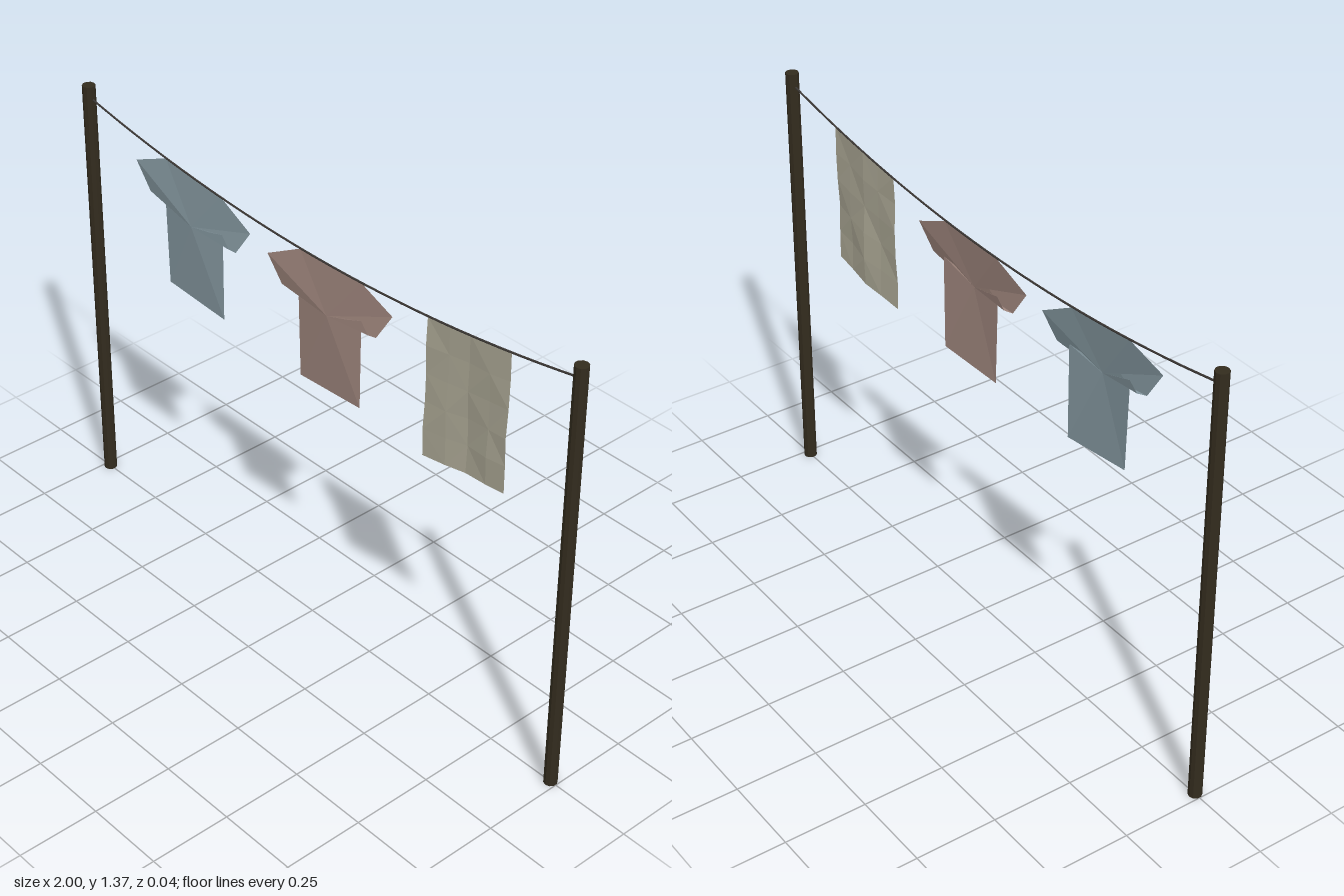
import * as THREE from 'three';

const mat = (name, color, extra = {}) => {
  const m = new THREE.MeshStandardMaterial({ color, ...extra });
  m.name = name;
  return m;
};
const cloth = { flatShading: true, side: THREE.DoubleSide };

// Height and slope of the sagging line
const ropeY = (x) => 1.23 + 0.1 * x * x;
const ropeSlope = (x) => 0.2 * x;

// Flat-shaded sheet from points and triangle indices
function sheet(points, index) {
  const g = new THREE.BufferGeometry();
  g.setAttribute('position', new THREE.Float32BufferAttribute(points.flat(), 3));
  g.setIndex(index);
  const flat = g.toNonIndexed();
  flat.computeVertexNormals();
  return flat;
}

// Triangle fan around the first point
function fan(points) {
  const index = [];
  for (let i = 1; i < points.length - 1; i++) index.push(0, i, i + 1);
  return sheet(points, index);
}

// Shirt hung from its shoulders, sheared to follow the line
function shirt(name, cx, material) {
  const group = new THREE.Group();
  group.name = name;
  const chest = [0, -0.155, 0.012];
  const hang = (p) => p.map(([x, y, z]) => [cx + x, ropeY(cx) + y + ropeSlope(cx) * x, z]);
  const yoke = [
    chest,
    [0.08, -0.13, 0.011], [0.135, -0.11, 0.009], [0.165, -0.14, 0.011], // folded underarm
    [0.195, -0.135, 0.01], [0.24, -0.055, -0.006], // left cuff
    [0.12, 0, -0.002], [-0.12, 0, 0], // shoulders
    [-0.24, -0.06, 0.014], [-0.19, -0.14, 0.006], // right cuff
    [-0.16, -0.143, -0.002], [-0.13, -0.115, -0.003], [-0.08, -0.13, 0.003],
  ];
  const torso = [
    chest,
    [-0.08, -0.12, 0.007], [-0.12, -0.15, 0.006], [-0.115, -0.405, 0.004],
    [0.12, -0.405, -0.004], [0.12, -0.11, -0.006], [0.08, -0.12, 0.002],
  ];
  for (const [part, pts] of [['yokeAndSleeves', yoke], ['torso', torso]]) {
    const mesh = new THREE.Mesh(fan(hang(pts)), material);
    mesh.name = part;
    group.add(mesh);
  }
  return group;
}

// Rippled towel on a small grid
function towel(material) {
  const cols = [0.45, 0.53, 0.6, 0.68, 0.75], ripple = [0.007, 0.004, -0.009, 0.001, 0.006];
  const rows = 5, pts = [], index = [];
  for (let j = 0; j <= rows; j++) {
    cols.forEach((x, i) => {
      const wobble = 0.003 * Math.sin(i * 2.1 + j * 1.9);
      pts.push([x, ropeY(x) - 0.087 * j, ripple[i] * (0.3 + 0.14 * j) + wobble * Math.min(j, 1)]);
    });
  }
  for (let j = 0; j < rows; j++) {
    for (let i = 0; i < 4; i++) {
      const a = j * 5 + i, b = a + 5;
      if ((i + j) % 2) index.push(a, b, a + 1, a + 1, b, b + 1);
      else index.push(a, b, b + 1, a, b + 1, a + 1);
    }
  }
  const mesh = new THREE.Mesh(sheet(pts, index), material);
  mesh.name = 'towel';
  return mesh;
}

export function createModel() {
  const model = new THREE.Group();
  model.name = 'clothesline';
  const wood = mat('dark wood', 0x332c1e, { flatShading: true });
  const cord = mat('cord', 0x3c3835);
  const blue = mat('faded blue', 0x84979f, cloth);
  const pink = mat('dusty rose', 0x9f867d, cloth);
  const linen = mat('linen', 0xaeaa97, cloth);

  // Poles
  for (const side of [-1, 1]) {
    const pole = new THREE.Mesh(new THREE.CylinderGeometry(0.02, 0.02, 1.365, 10), wood);
    pole.position.set(side * 0.98, 1.365 / 2, 0);
    pole.name = side > 0 ? 'leftPole' : 'rightPole';
    model.add(pole);
  }

  // Sagging line
  const path = [];
  for (let i = 0; i <= 14; i++) {
    const x = -0.98 + (1.96 * i) / 14;
    path.push(new THREE.Vector3(x, ropeY(x), 0));
  }
  const line = new THREE.Mesh(
    new THREE.TubeGeometry(new THREE.CatmullRomCurve3(path), 28, 0.003, 6), cord);
  line.name = 'line';
  model.add(line);

  // Washing
  model.add(shirt('blueShirt', -0.507, blue), shirt('pinkShirt', 0.07, pink), towel(linen));
  return model;
}
